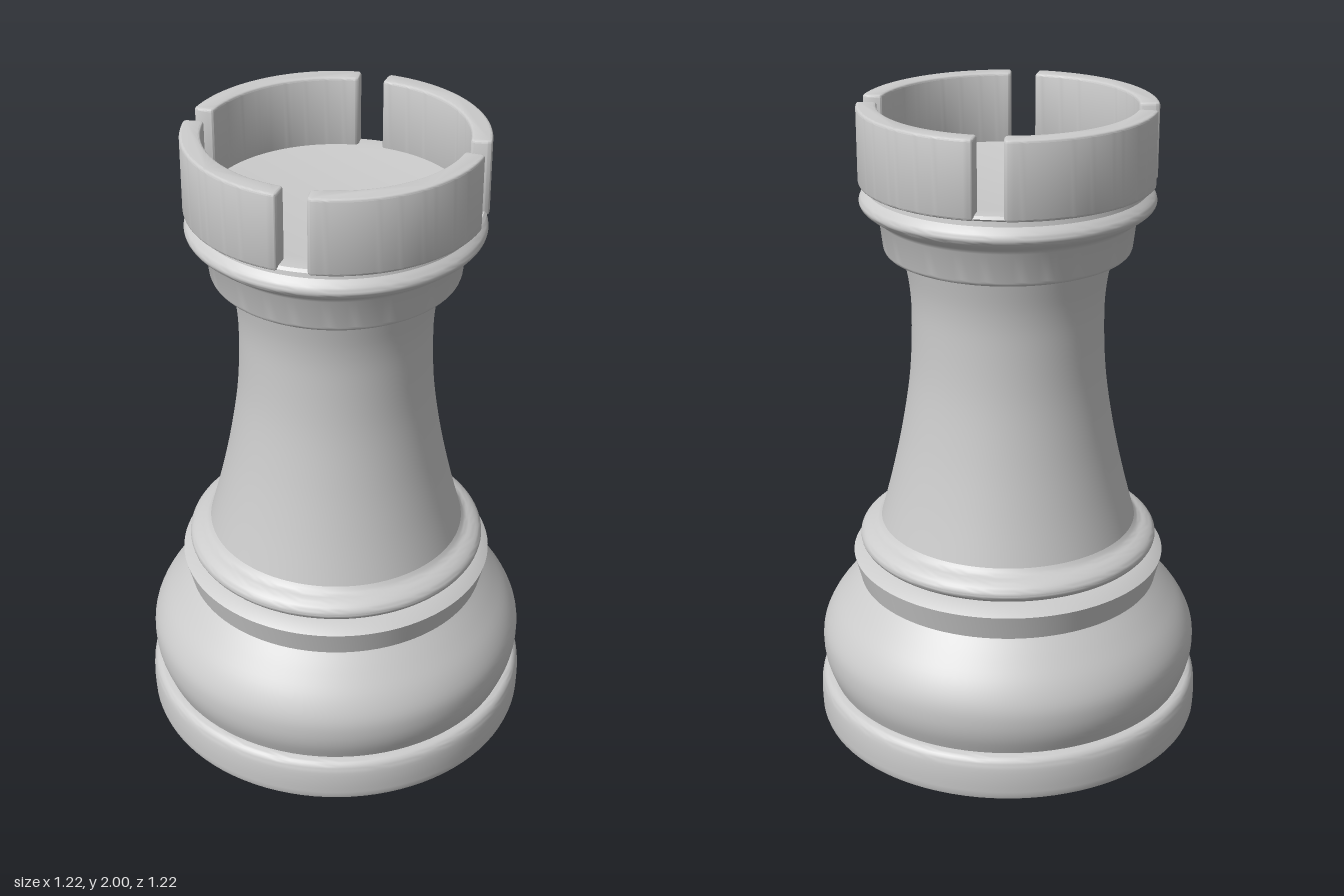
import * as THREE from 'three';
import { toCreasedNormals } from 'three/addons/utils/BufferGeometryUtils.js';

const material = new THREE.MeshStandardMaterial({ color: 0xcccccc });

const points = (list) => list.map(([r, y]) => new THREE.Vector2(r, y));
const smooth = (list, n = 16) => new THREE.SplineCurve(points(list)).getPoints(n);

function turned(name, profile) {
  const geometry = toCreasedNormals(new THREE.LatheGeometry(profile, 96), 0.55);
  const mesh = new THREE.Mesh(geometry, material);
  mesh.name = name;
  return mesh;
}

// Ring segment with rounded corners, seen from above
function merlonShape(inner, outer, a0, a1, round) {
  const at = (r, a) => [r * Math.cos(a), r * Math.sin(a)];
  const d = round / outer;
  const s = new THREE.Shape();
  s.absarc(0, 0, outer, a0 + d, a1 - d, false);
  s.quadraticCurveTo(...at(outer, a1), ...at(outer - round, a1));
  s.lineTo(...at(inner + round, a1));
  s.quadraticCurveTo(...at(inner, a1), ...at(inner, a1 - d));
  s.absarc(0, 0, inner, a1 - d, a0 + d, true);
  s.quadraticCurveTo(...at(inner, a0), ...at(inner + round, a0));
  s.lineTo(...at(outer - round, a0));
  s.quadraticCurveTo(...at(outer, a0), ...at(outer, a0 + d));
  return s;
}

export function createModel() {
  const group = new THREE.Group();
  group.name = 'rook';

  // Foot disc
  group.add(turned('foot', [
    ...points([[0, 0], [0.595, 0], [0.606, 0.008]]),
    ...smooth([[0.61, 0.02], [0.612, 0.07], [0.609, 0.115], [0.6, 0.137], [0.583, 0.147], [0.55, 0.15]]),
  ]));

  // Swelling base with a flared band on top
  group.add(turned('base', [
    ...smooth([[0.57, 0.14], [0.592, 0.2], [0.6, 0.255], [0.594, 0.31], [0.565, 0.37], [0.515, 0.435], [0.472, 0.485]], 24),
    ...points([[0.492, 0.565], [0.45, 0.592], [0.4, 0.595]]),
  ]));

  // Rounded ring under the shaft
  group.add(turned('baseRing',
    smooth([[0.43, 0.59], [0.455, 0.602], [0.468, 0.62], [0.462, 0.64], [0.44, 0.657], [0.415, 0.668], [0.4, 0.685]], 20)));

  // Waisted shaft
  group.add(turned('shaft',
    smooth([[0.41, 0.65], [0.365, 0.82], [0.328, 0.99], [0.301, 1.17], [0.293, 1.34], [0.298, 1.45], [0.318, 1.56]], 36)));

  // Collar, ridge, groove and the floor of the turret
  group.add(turned('collar', [
    ...smooth([[0.3, 1.545], [0.35, 1.556], [0.368, 1.562], [0.374, 1.575]], 8),
    ...points([[0.384, 1.66], [0.392, 1.672]]),
    ...smooth([[0.41, 1.682], [0.434, 1.7], [0.442, 1.715], [0.436, 1.732], [0.418, 1.75]], 12),
    ...points([[0.415, 1.765], [0.438, 1.776], [0.43, 1.784], [0.39, 1.786], [0.365, 1.782], [0, 1.78]]),
  ]));

  // Four merlons with narrow gaps between them
  const bevel = 0.008;
  const merlon = toCreasedNormals(new THREE.ExtrudeGeometry(
    merlonShape(0.382, 0.443, 0, THREE.MathUtils.degToRad(79), 0.015), {
      depth: 0.23 - 2 * bevel, curveSegments: 24, bevelEnabled: true,
      bevelSize: bevel, bevelOffset: -bevel, bevelThickness: bevel, bevelSegments: 3,
    }), 0.6);
  merlon.rotateX(-Math.PI / 2);
  merlon.translate(0, 1.77 + bevel, 0);
  for (let i = 0; i < 4; i++) {
    const mesh = new THREE.Mesh(merlon, material);
    mesh.name = 'merlon' + (i + 1);
    mesh.rotation.y = i * Math.PI / 2;
    group.add(mesh);
  }
  return group;
}
